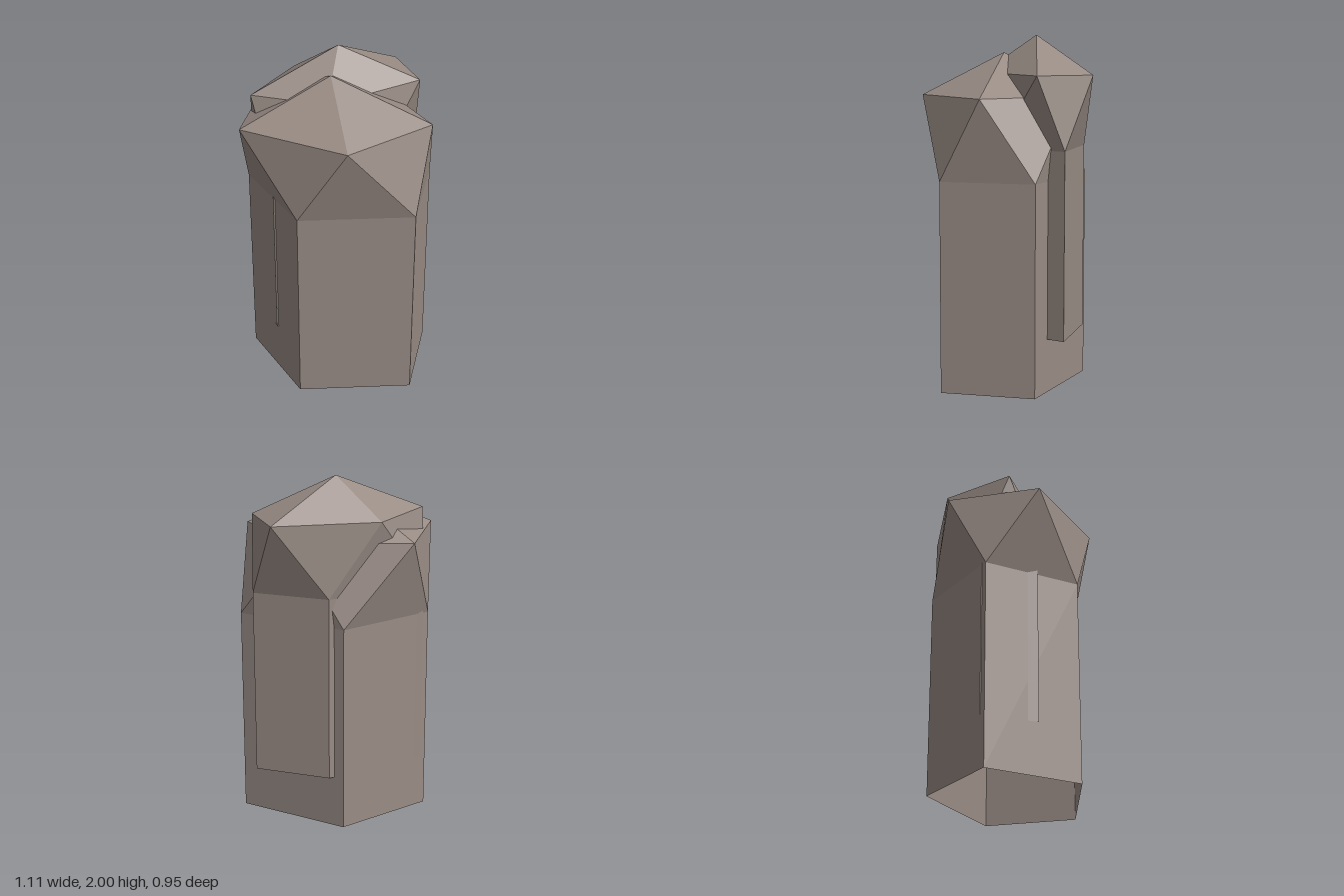
import * as THREE from 'three';

// A five-sided open column capped by the upper part of a stretched icosahedron.
// The upper ring is the lower ring mirrored through the centre (cx, cz).
function crystal(name, material, { ring, cx, cz, apex, upperY, lowerY, baseY }) {
  const n = ring.length;
  const at = (x, y, z) => new THREE.Vector3(cx + x, y, cz + z);
  const lower = ring.map(([x, z]) => at(x, lowerY, z));
  const base = ring.map(([x, z]) => at(x, baseY, z));
  const upper = ring.map((_, i) => {
    const [x, z] = ring[(i + 3) % n];
    return at(-x, upperY, -z);
  });
  const tip = new THREE.Vector3(...apex);

  const points = [];
  for (let i = 0; i < n; i++) {
    const j = (i + 1) % n;
    const h = (i + n - 1) % n;
    points.push(tip, upper[j], upper[i]);           // cap
    points.push(lower[j], lower[i], upper[i]);      // facets pointing up
    points.push(upper[i], lower[i], upper[h]);      // facets pointing down
    points.push(base[j], base[i], lower[i]);        // wall
    points.push(base[j], lower[i], lower[j]);
  }
  const geometry = new THREE.BufferGeometry().setFromPoints(points);
  geometry.computeVertexNormals(); // unshared corners give flat facets
  const mesh = new THREE.Mesh(geometry, material);
  mesh.name = name;
  return mesh;
}

export function createModel() {
  const group = new THREE.Group();
  group.name = 'rockPillar';
  const stone = new THREE.MeshStandardMaterial({ color: 0x998c85, side: THREE.DoubleSide, flatShading: true });
  stone.name = 'warm grey stone';

  // Front column, standing on the ground
  group.add(crystal('frontColumn', stone, {
    ring: [[0.4, 0.385], [-0.26, 0.365], [-0.51, -0.168], [-0.01, -0.473], [0.555, -0.133]],
    cx: 0, cz: 0, apex: [-0.04, 1.9, 0], upperY: 1.66, lowerY: 1.2, baseY: 0,
  }));

  // Taller back column, raised and sunk into the front one
  group.add(crystal('backColumn', stone, {
    ring: [[0.22, 0.227], [-0.38, 0.297], [-0.48, -0.023], [0.07, -0.289], [0.483, -0.132]],
    cx: 0, cz: -0.168, apex: [0.017, 2, -0.183], upperY: 1.783, lowerY: 1.37, baseY: 0.305,
  }));
  return group;
}
